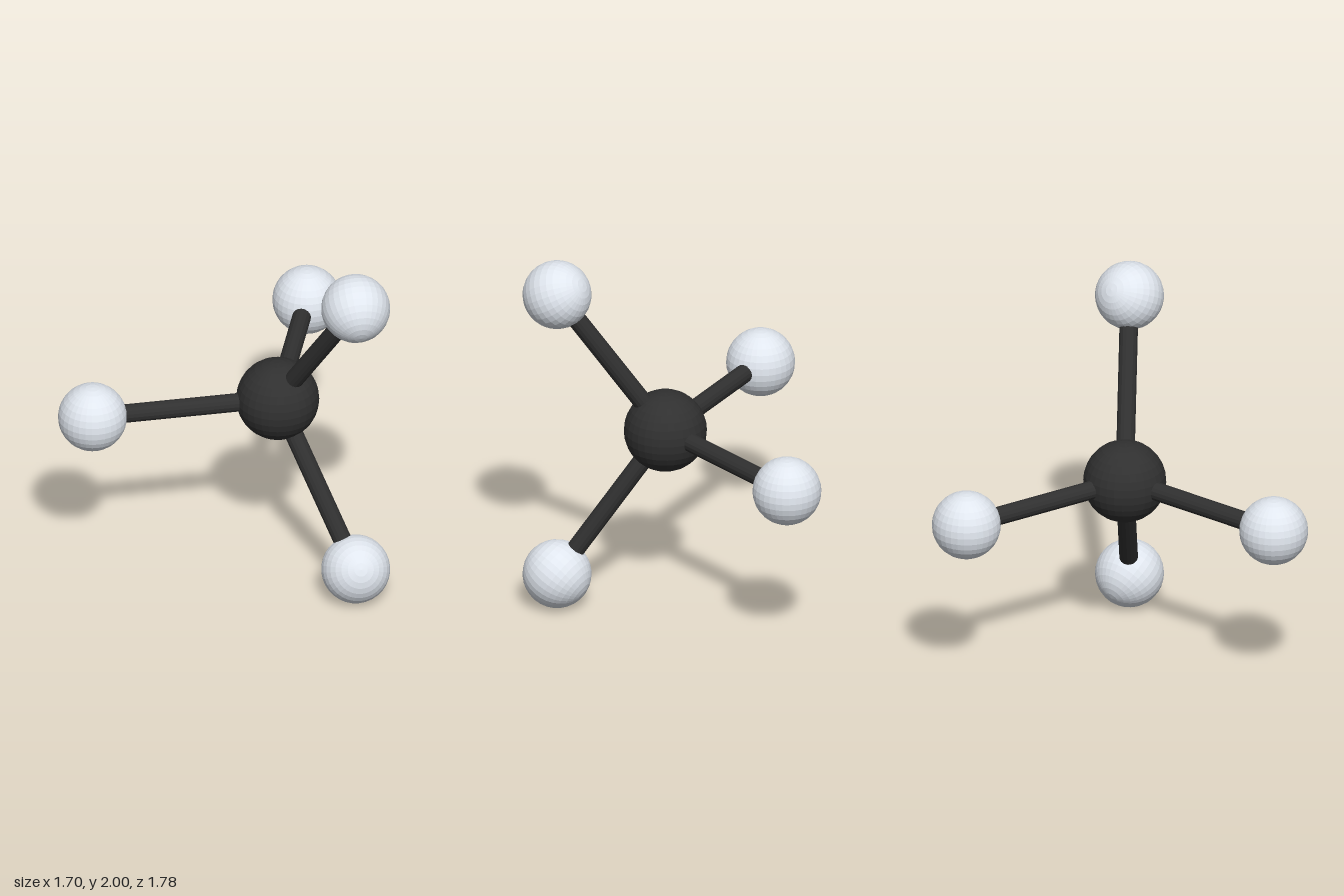
import * as THREE from 'three';

const BOND = 1.0;        // centre-to-centre distance
const CORE_R = 0.221;
const OUTER_R = 0.1835;
const ROD_R = 0.05;

export function createModel() {
  const model = new THREE.Group();
  model.name = 'tetrahedralMolecule';

  const dark = new THREE.MeshStandardMaterial({ color: 0x303030, flatShading: true });
  const light = new THREE.MeshStandardMaterial({ color: 0xe0e6ee, flatShading: true });

  const coreGeometry = new THREE.SphereGeometry(CORE_R, 32, 16);
  const outerGeometry = new THREE.SphereGeometry(OUTER_R, 32, 16);
  const rodGeometry = new THREE.CylinderGeometry(ROD_R, ROD_R, BOND, 16);
  const up = new THREE.Vector3(0, 1, 0);

  // Central atom
  const core = new THREE.Mesh(coreGeometry, dark);
  core.name = 'centralAtom';
  model.add(core);

  // One arm: a rod from the centre with a ball at its end
  function addArm(name, direction, turn) {
    const arm = new THREE.Group();
    arm.name = name;
    const rod = new THREE.Mesh(rodGeometry, dark);
    rod.name = 'bondRod';
    rod.position.copy(direction).multiplyScalar(BOND / 2);
    rod.quaternion.setFromUnitVectors(up, direction);
    const ball = new THREE.Mesh(outerGeometry, light);
    ball.name = 'outerAtom';
    ball.position.copy(direction).multiplyScalar(BOND);
    arm.add(rod, ball);
    arm.rotation.x = turn;
    model.add(arm);
  }

  // One arm along -x, three spread evenly around the x axis
  const slanted = new THREE.Vector3(1 / 3, 0, -Math.sqrt(8) / 3);
  addArm('sideArm', new THREE.Vector3(-1, 0, 0), 0);
  addArm('backArm', slanted, 0);
  addArm('upperFrontArm', slanted, (2 * Math.PI) / 3);
  addArm('lowerFrontArm', slanted, (-2 * Math.PI) / 3);

  // Centre the whole on x and z, standing on the ground
  model.position.set(BOND / 3, 1, (BOND * Math.SQRT2) / 6);
  return model;
}
